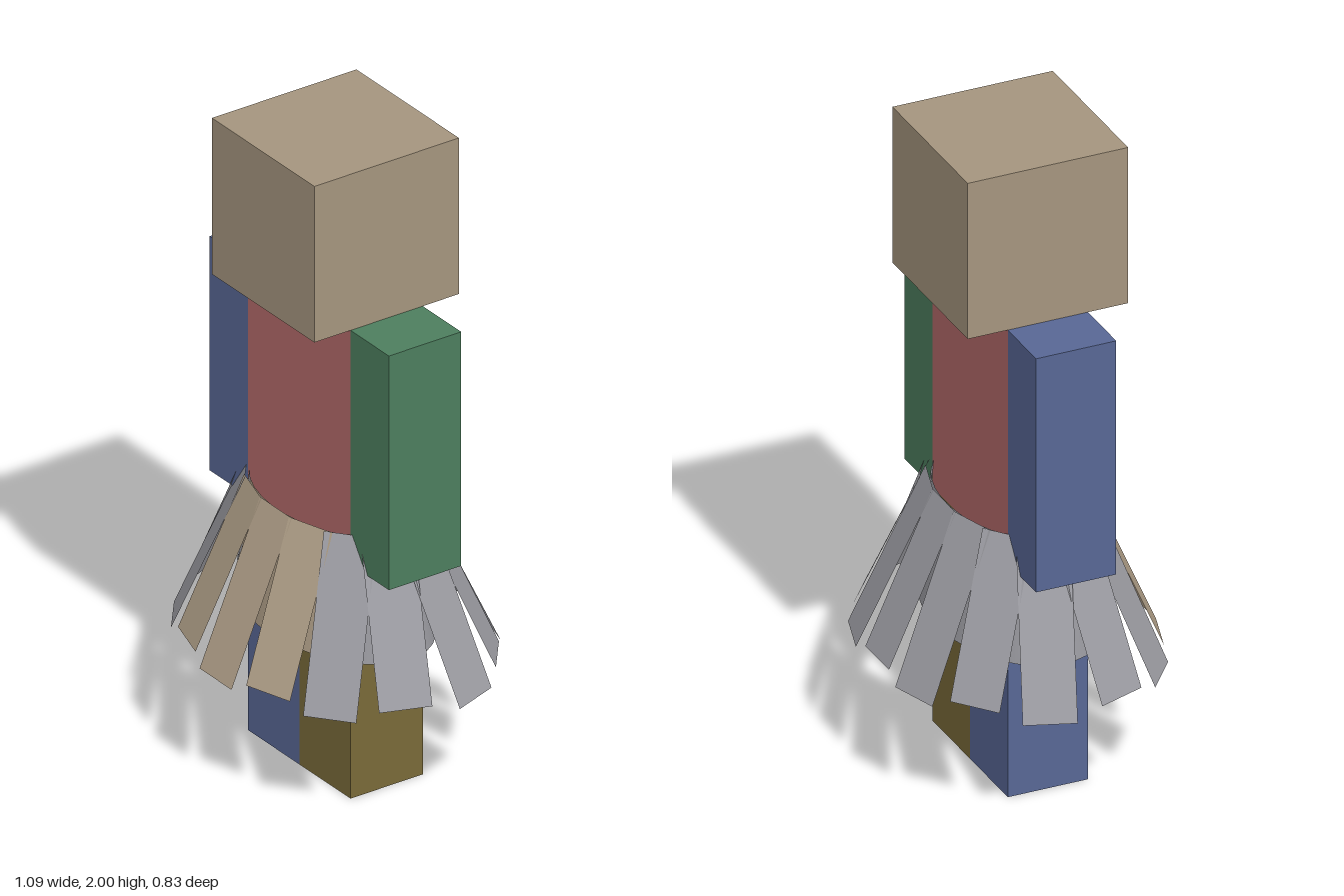
import * as THREE from 'three';

export function createModel() {
  const root = new THREE.Group();
  const mat = (name, color) => {
    const m = new THREE.MeshStandardMaterial({ color });
    m.name = name;
    return m;
  };
  const tan = mat('tan', 0xa5957e);
  const red = mat('red', 0xb36a6a);
  const blue = mat('blue', 0x586795);
  const green = mat('green', 0x4d7e5e);
  const olive = mat('olive', 0x796a39);
  const clothTan = mat('clothTan', 0xb09f88);
  const clothGrey = mat('clothGrey', 0x9c9ca2);
  clothTan.side = clothGrey.side = THREE.DoubleSide;

  const add = (name, geometry, material, parent = root) => {
    const mesh = new THREE.Mesh(geometry, material);
    mesh.name = name;
    parent.add(mesh);
    return mesh;
  };
  // Box standing on height y
  const box = (name, w, h, d, x, y, material) =>
    add(name, new THREE.BoxGeometry(w, h, d).translate(x, y + h / 2, 0), material);

  // Blocky body
  box('head', 0.5, 0.5, 0.5, 0, 1.5, tan);
  box('torso', 0.5, 0.75, 0.25, 0, 0.75, red);
  box('leftArm', 0.1875, 0.75, 0.25, 0.34375, 0.75, green);
  box('rightArm', 0.1875, 0.75, 0.25, -0.34375, 0.75, blue);
  box('leftLeg', 0.25, 0.75, 0.25, 0.125, 0, olive);
  box('rightLeg', 0.25, 0.75, 0.25, -0.125, 0, blue);

  // Skirt of flat strips, hung around an ellipse and flaring outward
  const skirt = new THREE.Group();
  skirt.name = 'skirt';
  root.add(skirt);
  const A = 0.325, B = 0.206, TOP = 0.848, WIDTH = 0.156, COUNT = 14;
  const flare = [0.43, 0.43, 0.43, 0.43, 0.44, 0.45, 0.456, 0.457]; // front to back
  for (let i = 0; i < COUNT; i++) {
    const k = Math.min(i, COUNT - i);
    const t = (i / COUNT) * Math.PI * 2;
    const drop = k % 2 ? 0.457 : 0.485;
    const out = new THREE.Vector3(Math.sin(t) / A, 0, Math.cos(t) / B).normalize();
    const side = new THREE.Vector3(out.z, 0, -out.x);
    const up = out.clone().multiplyScalar(-flare[k]).setY(1);
    const length = drop * up.length();
    up.normalize();
    const basis = new THREE.Matrix4()
      .makeBasis(side, up, new THREE.Vector3().crossVectors(side, up))
      .setPosition(A * Math.sin(t), TOP, B * Math.cos(t));
    const strip = new THREE.PlaneGeometry(WIDTH, length).translate(0, -length / 2, 0);
    add('skirtStrip', strip.applyMatrix4(basis), k < 2 ? clothTan : clothGrey, skirt);
  }

  // Shorter underskirt seen through the gaps
  const under = (name, start, sweep, material) =>
    add(name, new THREE.CylinderGeometry(0.312, 0.365, 0.385, Math.round(sweep * 5), 1, true, start, sweep)
      .scale(1, 1, 0.64).translate(0, 0.648, 0), material, skirt);
  const half = 0.67;
  under('underskirtFront', -half, half * 2, clothTan);
  under('underskirtBack', half, Math.PI * 2 - half * 2, clothGrey);

  return root;
}
